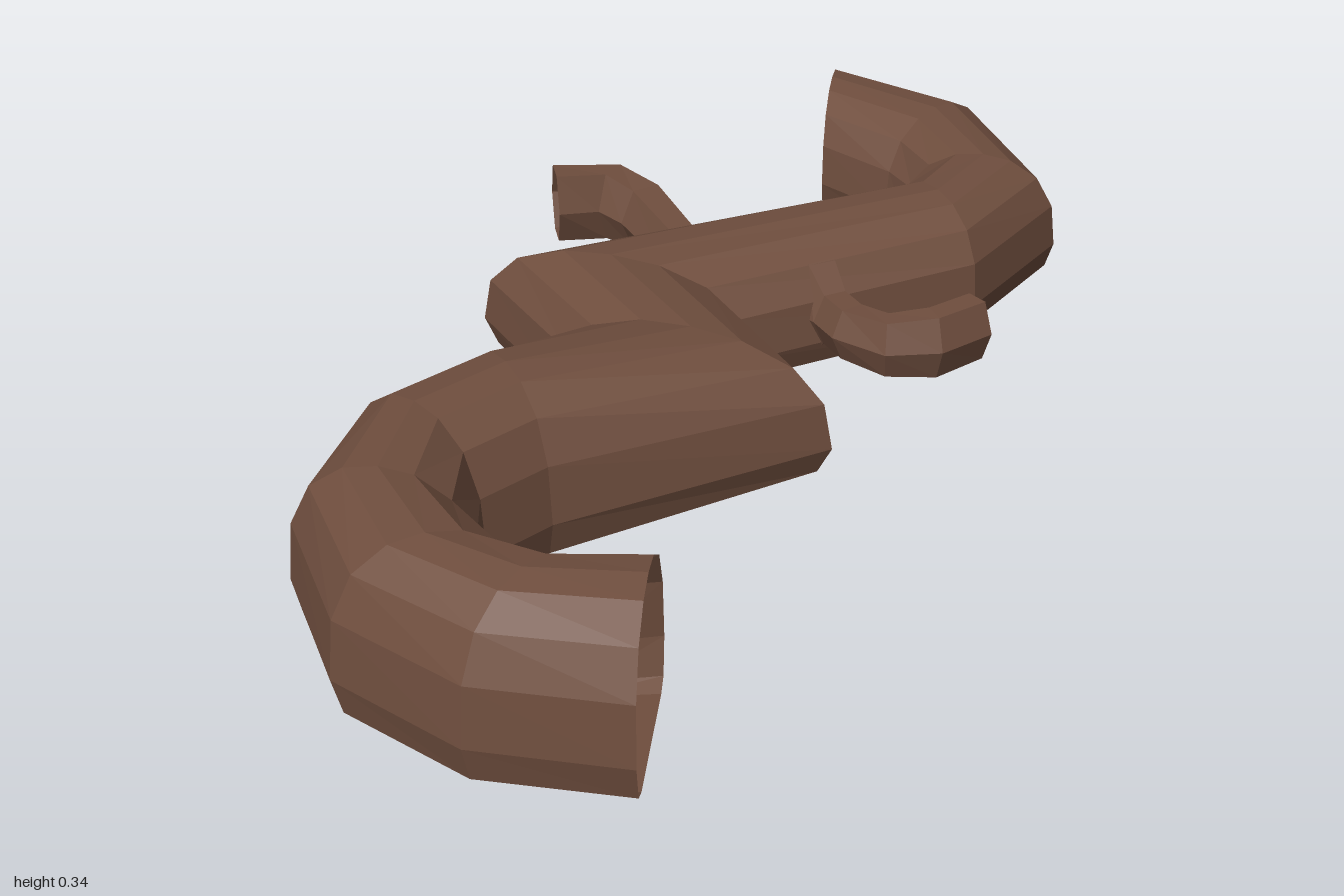
import * as THREE from 'three';

// Half profile of the trunk: flat underside, rounded top (u across -0.5..0.5, v up 0..1)
const half = [[0.36, 0], [0.45, 0.04], [0.5, 0.25], [0.47, 0.6], [0.36, 0.84], [0.18, 0.97]];
const trunkProfile = [...half, [0, 1], ...half.map(([u, v]) => [-u, v]).reverse()];
// Hexagon with flat top and bottom for the side twigs
const twigProfile = [[0.25, 0], [0.5, 0.5], [0.25, 1], [-0.25, 1], [-0.5, 0.5], [-0.25, 0]];

// Open tube through mitred rings; ring = [ax, az, bx, bz, yLow, yHigh]
function sweep(name, profile, rings, material) {
  const point = (r, [u, v]) => {
    const [ax, az, bx, bz, low, high] = r;
    const k = u + 0.5;
    return [ax + (bx - ax) * k, low + (high - low) * v, az + (bz - az) * k];
  };
  const positions = [];
  for (let i = 0; i < rings.length - 1; i++) {
    for (let j = 0; j < profile.length; j++) {
      const p = profile[j], q = profile[(j + 1) % profile.length];
      const a = point(rings[i], p), b = point(rings[i], q);
      const c = point(rings[i + 1], q), d = point(rings[i + 1], p);
      positions.push(...a, ...b, ...c, ...a, ...c, ...d);
    }
  }
  const geometry = new THREE.BufferGeometry();
  geometry.setAttribute('position', new THREE.Float32BufferAttribute(positions, 3));
  geometry.computeVertexNormals();
  const mesh = new THREE.Mesh(geometry, material);
  mesh.name = name;
  return mesh;
}

export function createModel() {
  const bark = new THREE.MeshStandardMaterial({ color: 0x6f4e3e, flatShading: true, side: THREE.DoubleSide });
  bark.name = 'brown bark';

  const model = new THREE.Group();
  model.name = 'hollowRoot';

  // Main trunk: thick curl, sharp zigzag, thinner hook
  const thick = [0, 0.34], thin = [0.035, 0.295];
  model.add(sweep('trunk', trunkProfile, [
    [-0.45, 0.69, -0.64, 0.995, ...thick],
    [-0.57, 0.655, -0.87, 0.825, ...thick],
    [-0.65, 0.6, -1.0, 0.56, ...thick],
    [-0.685, 0.46, -0.97, 0.25, ...thick],
    [-0.635, 0.34, -0.76, 0.015, ...thick],
    [-0.49, 0.295, -0.51, -0.06, ...thick],
    [0.08, 0.305, -0.3, -0.14, 0.03, 0.3],
    [0.08, -0.065, -0.325, -0.465, ...thin],
    [0.62, -0.065, 0.62, -0.405, ...thin],
    [0.92, -0.23, 0.675, -0.455, ...thin],
    [0.99, -0.67, 0.67, -0.54, ...thin],
    [0.8, -1.0, 0.605, -0.72, ...thin],
  ], bark));

  // Twig curling out of the front side
  model.add(sweep('frontTwig', twigProfile, [
    [0.22, -0.12, 0.34, -0.12, 0.045, 0.255],
    [0.232, -0.06, 0.328, -0.06, 0.1, 0.21],
    [0.235, 0.015, 0.33, 0, 0.1, 0.21],
    [0.295, 0.125, 0.345, 0.05, 0.095, 0.215],
    [0.4, 0.17, 0.41, 0.075, 0.09, 0.225],
    [0.525, 0.15, 0.505, 0.06, 0.095, 0.225],
  ], bark));

  // Twig curling out of the back side
  model.add(sweep('backTwig', twigProfile, [
    [0.18, -0.36, 0.05, -0.36, 0.05, 0.26],
    [0.165, -0.42, 0.06, -0.42, 0.1, 0.225],
    [0.175, -0.62, 0.052, -0.61, 0.1, 0.24],
    [0.125, -0.735, 0.025, -0.67, 0.1, 0.255],
    [-0.035, -0.79, -0.065, -0.675, 0.11, 0.265],
  ], bark));

  return model;
}
